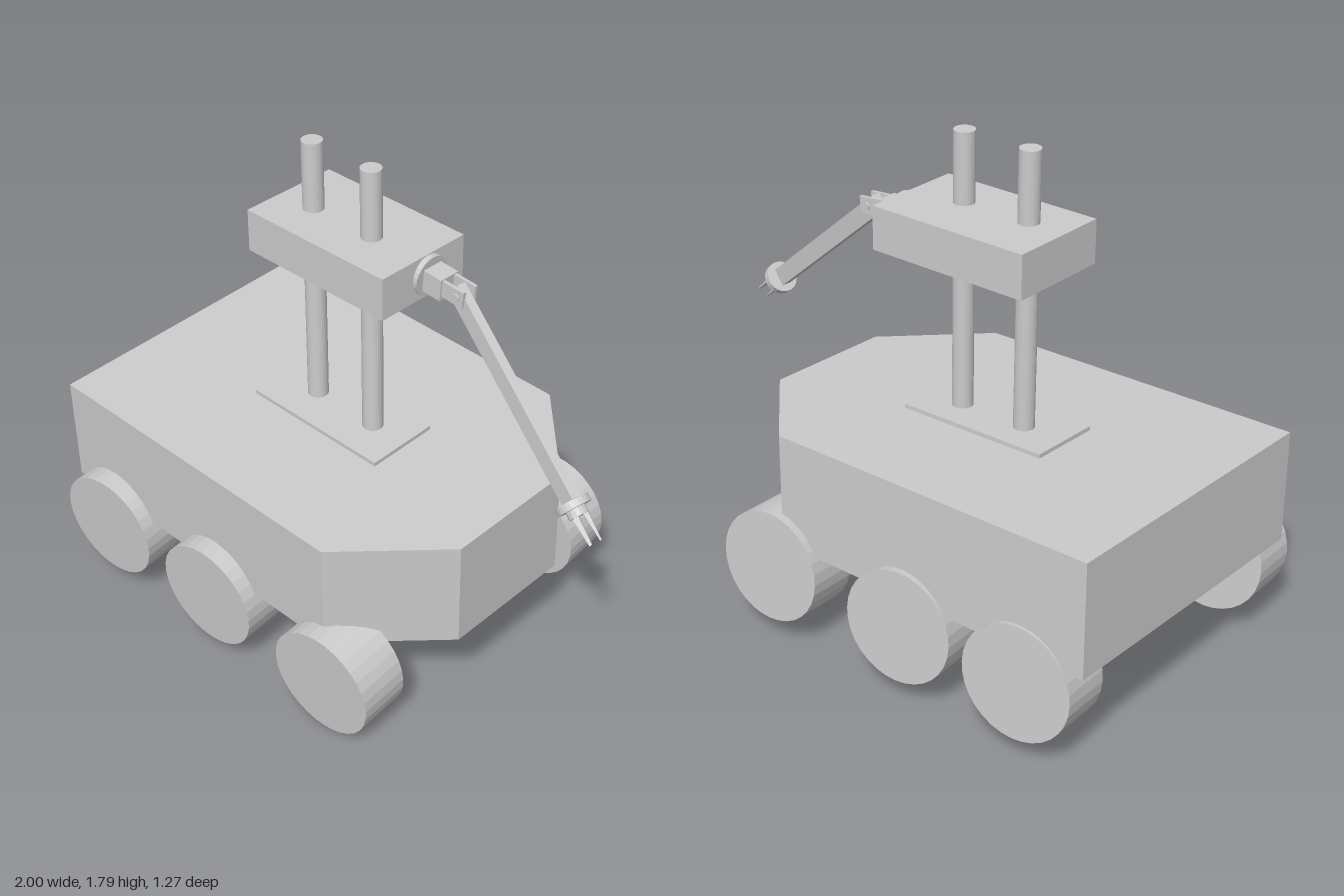
import * as THREE from 'three';

const grey = new THREE.MeshStandardMaterial({ color: 0xcccccc, flatShading: true });

function add(parent, name, geometry, x = 0, y = 0, z = 0) {
  const mesh = new THREE.Mesh(geometry, grey);
  mesh.name = name;
  mesh.position.set(x, y, z);
  parent.add(mesh);
  return mesh;
}

const box = (w, h, d) => new THREE.BoxGeometry(w, h, d);
// cylinder lying along x
const rod = (r, length, sides = 24) => new THREE.CylinderGeometry(r, r, length, sides).rotateZ(-Math.PI / 2);

export function createModel() {
  const model = new THREE.Group();
  model.name = 'rover';

  // Slightly tilted chassis with two cut corners
  const chassis = new THREE.Group();
  chassis.name = 'chassis';
  chassis.position.y = 0.77;
  chassis.rotation.set(0.03, 0, -0.022);
  model.add(chassis);
  const outline = new THREE.Shape([
    [-0.99, -0.565], [0.29, -0.565], [0.602, -0.25], [0.602, 0.25], [0.285, 0.57], [-0.99, 0.57],
  ].map(([x, z]) => new THREE.Vector2(x, z)));
  const hull = new THREE.ExtrudeGeometry(outline, { depth: 0.41, bevelEnabled: false });
  add(chassis, 'hull', hull.rotateX(Math.PI / 2));
  add(chassis, 'mastPlate', box(0.585, 0.015, 0.275), -0.178, 0.0075, 0.008);

  // Six wheels, each with its own lean: x, y, z, yaw
  const wheels = [
    ['leftFrontWheel', 0.303, 0.21, 0.515, 0.05],
    ['leftMiddleWheel', -0.253, 0.265, 0.523, 0.05],
    ['leftRearWheel', -0.787, 0.275, 0.523, 0.07],
    ['rightFrontWheel', 0.315, 0.28, -0.525, 0.06],
    ['rightMiddleWheel', -0.26, 0.28, -0.515, 0.1],
    ['rightRearWheel', -0.748, 0.28, -0.505, 0.07],
  ];
  for (const [name, x, y, z, yaw] of wheels) {
    const wheel = add(model, name, new THREE.CylinderGeometry(0.205, 0.205, 0.19, 32).rotateX(Math.PI / 2), x, y, z);
    wheel.rotation.set(0.06, yaw, 0);
  }

  // Twin mast columns and the carriage they pass through
  for (const [name, x] of [['rearColumn', -0.31], ['frontColumn', -0.042]]) {
    const column = add(model, name, new THREE.CylinderGeometry(0.037, 0.037, 1.03, 24), x, 1.272, -0.005);
    column.rotation.set(-0.01, 0, 0.014);
  }
  add(model, 'carriage', box(0.62, 0.155, 0.38), -0.15, 1.4575, -0.035);

  // Shoulder: turntable and forked bracket
  const shoulder = new THREE.Group();
  shoulder.name = 'shoulder';
  shoulder.position.set(0.16, 1.46, -0.057);
  shoulder.rotation.z = -0.08;
  model.add(shoulder);
  add(shoulder, 'turntable', rod(0.072, 0.03));
  add(shoulder, 'bracketBase', box(0.08, 0.08, 0.08), 0.05, 0, 0);
  for (const side of [-1, 1]) {
    add(shoulder, 'bracketFork', box(0.1, 0.06, 0.012), 0.13, 0.006, side * 0.028);
  }
  add(shoulder, 'elbowPin', rod(0.014, 0.08, 12).rotateY(Math.PI / 2), 0.15, 0.005, 0);

  // Sloping arm, built along its own x axis
  const start = new THREE.Vector3(0.295, 1.453, -0.055);
  const end = new THREE.Vector3(0.885, 0.977, 0.05);
  const reach = end.clone().sub(start);
  const length = reach.length();
  const arm = new THREE.Group();
  arm.name = 'arm';
  arm.position.copy(start);
  arm.quaternion.setFromUnitVectors(new THREE.Vector3(1, 0, 0), reach.normalize());
  model.add(arm);
  add(arm, 'forearm', box(length, 0.064, 0.034), length / 2 - 0.015, 0, 0);
  add(arm, 'wristDisc', rod(0.058, 0.026), length, 0, 0);
  add(arm, 'wristHub', rod(0.035, 0.03, 16), length + 0.025, 0, 0);

  // Three tapered gripper fingers
  for (let i = 0; i < 3; i++) {
    const a = (i / 3) * Math.PI * 2 + Math.PI / 6;
    const finger = new THREE.CylinderGeometry(0.004, 0.012, 0.105, 4).rotateZ(-Math.PI / 2);
    add(arm, 'gripperFinger', finger, length + 0.085, Math.sin(a) * 0.024, Math.cos(a) * 0.024);
  }
  return model;
}
